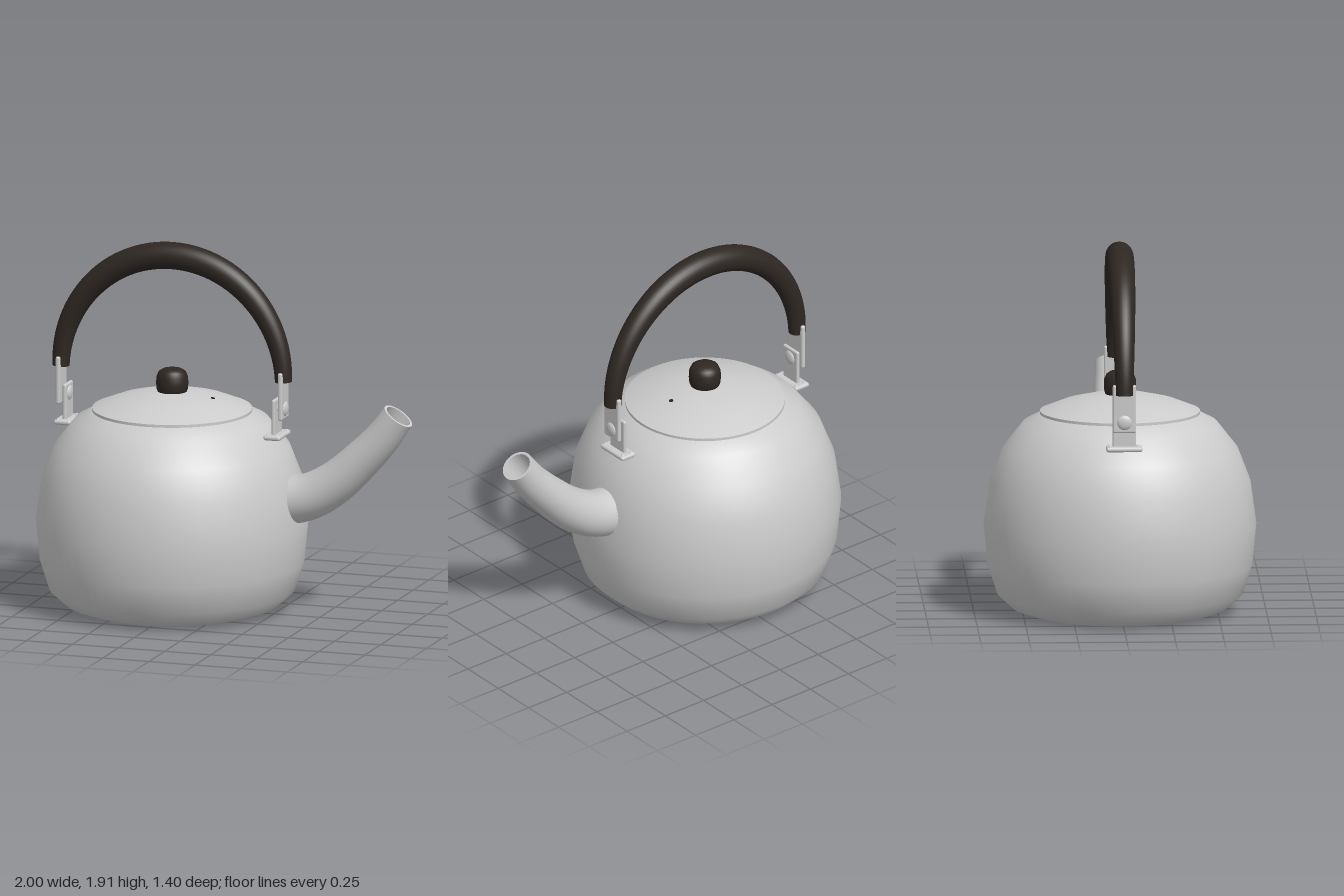
import * as THREE from 'three';
import { RoundedBoxGeometry } from 'three/addons/geometries/RoundedBoxGeometry.js';

const CX = -0.3; // axis of the pot

const metal = new THREE.MeshStandardMaterial({ color: 0xcccccc, side: THREE.DoubleSide });
const dark = new THREE.MeshStandardMaterial({ color: 0x2e2722 });
const black = new THREE.MeshStandardMaterial({ color: 0x222222 });

function add(parent, name, geometry, material, x = 0, y = 0, z = 0) {
  const mesh = new THREE.Mesh(geometry, material);
  mesh.name = name;
  mesh.position.set(x, y, z);
  parent.add(mesh);
  return mesh;
}

function lathe(points, segments = 72) {
  return new THREE.LatheGeometry(points.map(([r, y]) => new THREE.Vector2(r, y)), segments);
}

// Tube whose radius follows radiusAt(t) along the curve
function taperedTube(curve, segments, sides, radiusAt) {
  const geometry = new THREE.TubeGeometry(curve, segments, 1, sides);
  const pos = geometry.attributes.position;
  const v = new THREE.Vector3();
  for (let i = 0; i <= segments; i++) {
    const centre = curve.getPointAt(i / segments);
    for (let j = 0; j <= sides; j++) {
      const k = i * (sides + 1) + j;
      v.fromBufferAttribute(pos, k).sub(centre).multiplyScalar(radiusAt(i / segments)).add(centre);
      pos.setXYZ(k, v.x, v.y, v.z);
    }
  }
  return geometry;
}

// Hinge bracket on the +x shoulder, in coordinates relative to the pot axis
function createBracket() {
  const bracket = new THREE.Group();
  bracket.name = 'handleBracket';
  add(bracket, 'bracketBase', new RoundedBoxGeometry(0.092, 0.026, 0.186, 3, 0.012), metal, 0.568, 0.943, 0);
  add(bracket, 'bracketPost', new RoundedBoxGeometry(0.02, 0.195, 0.12, 3, 0.009), metal, 0.566, 1.04, 0);
  add(bracket, 'handleStrap', new RoundedBoxGeometry(0.024, 0.25, 0.12, 3, 0.01), metal, 0.602, 1.155, 0);

  // Hinge pin with a domed head on each side
  const pin = add(bracket, 'hingePin', new THREE.CylinderGeometry(0.018, 0.018, 0.06, 20), metal, 0.584, 1.085, 0);
  pin.rotation.z = Math.PI / 2;
  for (const side of [-1, 1]) {
    const head = add(bracket, 'pinHead', new THREE.SphereGeometry(0.038, 24, 10, 0, Math.PI * 2, 0, Math.PI / 2),
      metal, side > 0 ? 0.612 : 0.558, 1.085, 0);
    head.rotation.z = -side * Math.PI / 2;
    head.scale.y = 0.4;
    // Small rivets in the base plate
    for (const dx of [-0.026, 0.026]) {
      const rivet = add(bracket, 'baseRivet', new THREE.SphereGeometry(0.01, 12, 8), metal, 0.568 + dx, 0.956, side * 0.072);
      rivet.scale.y = 0.5;
    }
  }
  return bracket;
}

export function createModel() {
  const kettle = new THREE.Group();
  kettle.name = 'kettle';

  // Pot body
  add(kettle, 'body', lathe([
    [0, 0], [0.466, 0], [0.557, 0.03], [0.632, 0.1], [0.68, 0.25], [0.7, 0.46],
    [0.67, 0.68], [0.605, 0.85], [0.498, 0.985], [0.4, 1.035],
  ]), metal, CX);

  // Lid: thin rim and a shallow dome
  add(kettle, 'lidRim', new THREE.CylinderGeometry(0.411, 0.411, 0.014, 72), metal, CX, 1.039, 0);
  add(kettle, 'lidDome', lathe([
    [0.41, 1.046], [0.295, 1.092], [0.146, 1.128], [0, 1.137],
  ]), metal, CX);

  // Steam hole in the lid
  const vent = add(kettle, 'steamHole', new THREE.CylinderGeometry(0.011, 0.011, 0.008, 16), black, CX + 0.22, 1.109, 0);
  vent.rotation.z = -0.24;

  // Lid knob
  add(kettle, 'lidKnob', lathe([
    [0, 1.12], [0.07, 1.12], [0.08, 1.145], [0.083, 1.175], [0.081, 1.21],
    [0.07, 1.236], [0.05, 1.249], [0.03, 1.252], [0, 1.253],
  ], 40), dark, CX);

  // Spout: tapered outer wall, inner wall and lip
  const spoutCurve = new THREE.CatmullRomCurve3([
    [0.22, 0.6], [0.36, 0.612], [0.46, 0.64], [0.59, 0.72], [0.73, 0.85], [0.84, 0.97], [0.926, 1.09],
  ].map(([x, y]) => new THREE.Vector3(x, y, 0)));
  const spoutRadius = (t) => 0.134 - 0.049 * Math.min(1, t * 1.02);
  const spout = new THREE.Group();
  spout.name = 'spout';
  kettle.add(spout);
  add(spout, 'spoutOuter', taperedTube(spoutCurve, 40, 40, spoutRadius), metal);
  add(spout, 'spoutInner', taperedTube(spoutCurve, 40, 40, (t) => spoutRadius(t) - 0.014), metal);
  const tip = spoutCurve.getPointAt(1);
  const lip = add(spout, 'spoutLip', new THREE.RingGeometry(spoutRadius(1) - 0.014, spoutRadius(1), 40), metal, tip.x, tip.y, 0);
  lip.lookAt(tip.clone().add(spoutCurve.getTangentAt(1)));

  // Arched grip, thickest at the top
  const arch = [];
  for (let i = 0; i <= 32; i++) {
    const a = Math.PI * i / 32;
    arch.push(new THREE.Vector3(CX + 0.603 * Math.cos(a), 1.225 + 0.62 * Math.sin(a), 0));
  }
  const handle = new THREE.Group();
  handle.name = 'handle';
  kettle.add(handle);
  add(handle, 'grip', taperedTube(new THREE.CatmullRomCurve3(arch), 72, 28,
    (t) => 0.044 + 0.026 * Math.sin(Math.PI * t)), dark);
  for (const side of [-1, 1]) {
    const cap = add(handle, 'gripEnd', new THREE.CircleGeometry(0.044, 28), dark, CX + side * 0.603, 1.225, 0);
    cap.rotation.x = Math.PI / 2;

    // Mirrored hinge brackets
    const bracket = createBracket();
    bracket.position.x = CX;
    bracket.rotation.y = side > 0 ? 0 : Math.PI;
    kettle.add(bracket);
  }

  return kettle;
}
